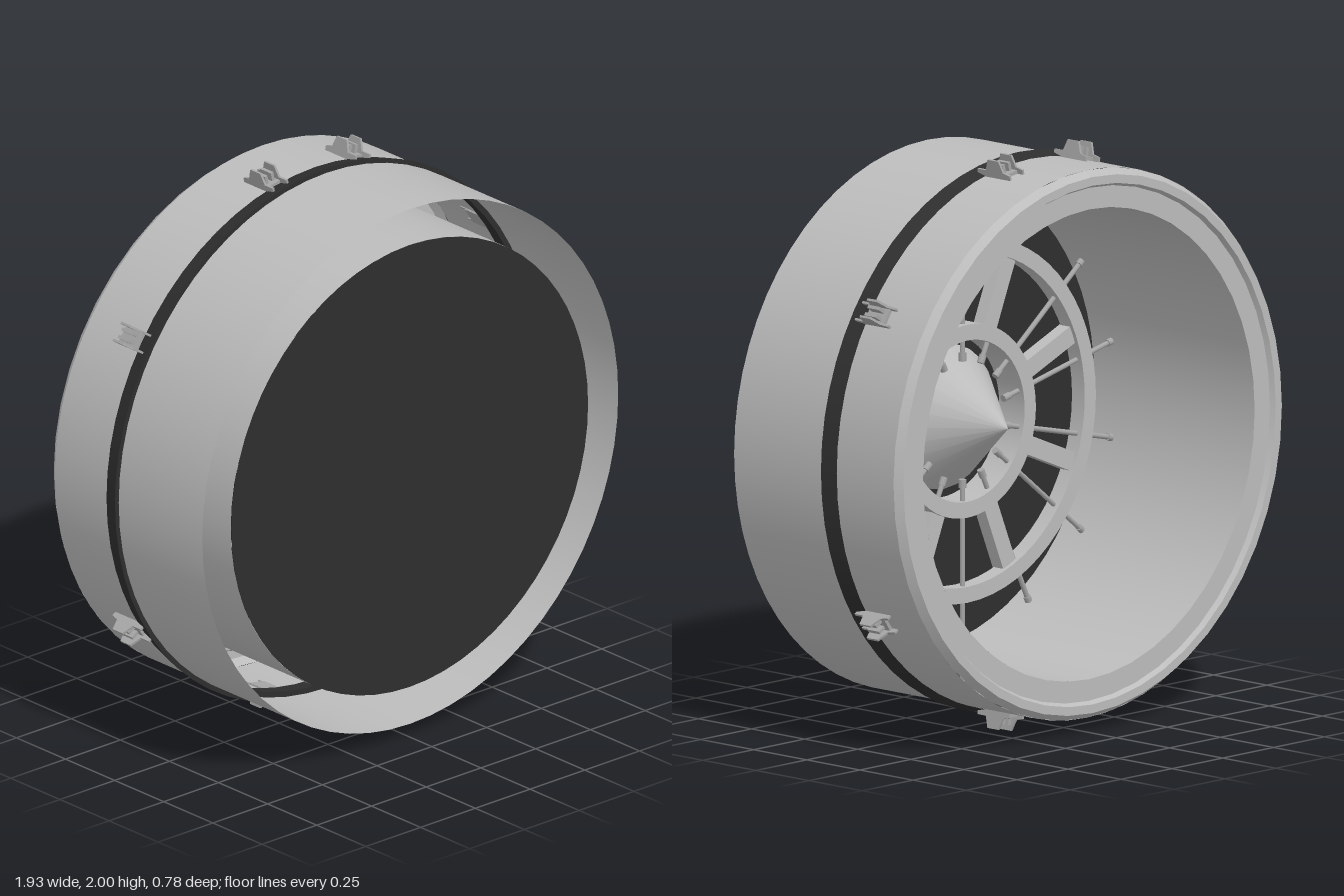
import * as THREE from 'three';

const makeMat = (name, color) => {
  const m = new THREE.MeshStandardMaterial({ color, side: THREE.DoubleSide });
  m.name = name;
  return m;
};

export function createModel() {
  const grey = makeMat('light grey', 0xbcbcbc);
  const steel = makeMat('steel grey', 0xa6a6a6);
  const dark = makeMat('charcoal', 0x2e2e2e);

  const model = new THREE.Group();
  model.name = 'ductedFan';
  const body = new THREE.Group();
  body.name = 'body';
  body.position.y = 1;
  model.add(body);

  const add = (name, geo, mat, parent = body) => {
    const mesh = new THREE.Mesh(geo, mat);
    mesh.name = name;
    parent.add(mesh);
    return mesh;
  };
  // Open conical band around the z axis, from (r0, z0) forward to (r1, z1)
  const band = (name, r0, z0, r1, z1, mat, seg = 64) => {
    if (z0 === z1) {
      const g = new THREE.RingGeometry(Math.min(r0, r1), Math.max(r0, r1), seg);
      return add(name, g.translate(0, 0, z0), mat);
    }
    const g = new THREE.CylinderGeometry(r1, r0, z1 - z0, seg, 1, true);
    return add(name, g.rotateX(Math.PI / 2).translate(0, 0, (z0 + z1) / 2), mat);
  };
  // Solid hoop with a rectangular section
  const hoop = (name, rIn, rOut, z0, z1, mat) => {
    band(name + 'Outside', rOut, z0, rOut, z1, mat);
    band(name + 'Inside', rIn, z0, rIn, z1, mat);
    band(name + 'Back', rIn, z0, rOut, z0, mat);
    band(name + 'Front', rIn, z1, rOut, z1, mat);
  };
  // Group turned so that its +x points outwards at the given angle
  const radial = (name, angle) => {
    const g = new THREE.Group();
    g.name = name;
    g.rotation.z = angle;
    body.add(g);
    return g;
  };

  // Outer casing, rear lip and inner duct; the gap between them is open in front
  band('frontCasing', 0.95, -0.04, 0.95, 0.39, grey);
  band('rearCasing', 0.95, -0.36, 0.95, -0.04, grey);
  band('rearChamfer', 0.93, -0.388, 0.95, -0.36, grey, 48);
  band('rearLip', 0.9, -0.388, 0.93, -0.388, grey, 48);
  band('lipStep', 0.9, -0.388, 0.89, -0.37, grey, 48);
  band('rearFace', 0.815, -0.37, 0.89, -0.37, grey, 48);
  band('innerDuct', 0.815, -0.37, 0.815, 0.385, grey);

  // Dark clamping band with a flared front edge
  band('sealBand', 0.952, -0.095, 0.967, -0.035, dark);
  band('sealFront', 0.93, -0.035, 0.967, -0.035, dark);
  band('sealInside', 0.935, -0.095, 0.93, -0.035, dark);

  // Front closing disc
  add('frontDisc', new THREE.CircleGeometry(0.815, 64).translate(0, 0, 0.387), dark);

  // Central cone pointing to the rear
  const cone = new THREE.ConeGeometry(0.25, 0.3, 24, 1).rotateX(-Math.PI / 2);
  add('centreCone', cone.translate(0, 0, 0.16), grey);

  // Support hoops
  hoop('innerHoop', 0.28, 0.335, 0.2, 0.32, grey);
  hoop('outerHoop', 0.575, 0.63, 0.2, 0.26, grey);

  // Flat vanes between the hoops
  for (let i = 0; i < 8; i++) {
    const g = radial('vane', (i + 0.5) * Math.PI / 4);
    add('vaneBlade', new THREE.BoxGeometry(0.26, 0.065, 0.05).translate(0.455, 0, 0.24), grey, g);
  }
  // Thin rods passing through both hoops
  for (let i = 0; i < 14; i++) {
    const g = radial('rod', -Math.PI / 2 + i * Math.PI / 7);
    const shaft = new THREE.CylinderGeometry(0.009, 0.009, 0.54, 8).rotateZ(Math.PI / 2);
    add('rodShaft', shaft.translate(0.48, 0, 0.225), steel, g);
    for (const [x, l] of [[0.22, 0.03], [0.74, 0.02]]) {
      const tip = new THREE.CylinderGeometry(0.013, 0.013, l, 8).rotateZ(Math.PI / 2);
      add('rodTip', tip.translate(x, 0, 0.225), steel, g);
    }
  }

  // Latch cheek, profile drawn as (radius, z)
  const cheek = new THREE.Shape([
    [0.945, -0.06], [0.972, -0.06], [0.972, -0.1], [1.012, -0.115],
    [1.012, -0.165], [0.972, -0.18], [0.965, -0.21], [0.945, -0.21],
  ].map(([r, z]) => new THREE.Vector2(r, z)));
  const cheekGeo = new THREE.ExtrudeGeometry(cheek, { depth: 0.008, bevelEnabled: false });
  cheekGeo.rotateX(Math.PI / 2);

  // Eight latches around the casing
  for (const sx of [0, 1]) for (const deg of [78.75, 33.75, -33.75, -78.75]) {
    const a = THREE.MathUtils.degToRad(sx ? 180 - deg : deg);
    const g = radial('latch', a);
    add('latchBase', new THREE.BoxGeometry(0.02, 0.07, 0.09).translate(0.952, 0, -0.14), steel, g);
    for (const s of [-1, 1]) {
      const m = add('latchCheek', cheekGeo, steel, g);
      // The profile's z is mirrored by the turn, so flip it back
      m.scale.z = -1;
      m.position.y = s * 0.032 + 0.004;
      m.scale.z = cheekGeo.boundingBox || 1 ? zSign(cheekGeo) : 1;
      add('latchLug', new THREE.BoxGeometry(0.035, 0.012, 0.055).translate(0.975, s * 0.014, -0.14), steel, g);
    }
  }
  return model;
}

// Sign that brings a latch cheek to the rear half
function zSign(geo) {
  geo.computeBoundingBox();
  return geo.boundingBox.max.z > 0.01 ? -1 : 1;
}
